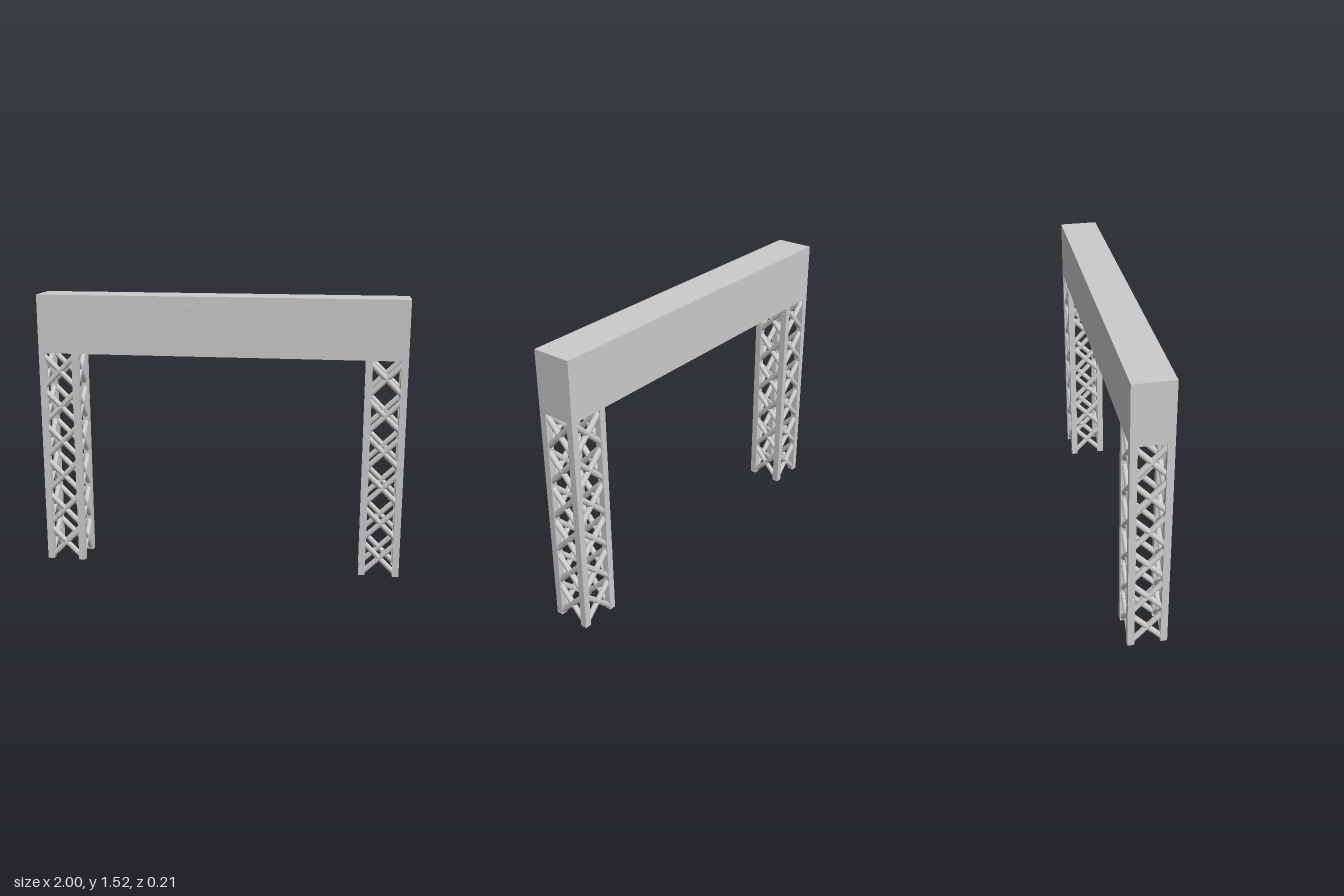
import * as THREE from 'three';

const HALF_X = 1, DEPTH = 0.208, LEG_TOP = 1.2, TOP = 1.52;
const LEG_W = 0.22, POST = 0.036, BAYS = 6, BRACE_R = 0.015;

const material = new THREE.MeshStandardMaterial({ color: 0xcccccc });

function box(name, w, h, d, x, y, z) {
  const mesh = new THREE.Mesh(new THREE.BoxGeometry(w, h, d), material);
  mesh.name = name;
  mesh.position.set(x, y, z);
  return mesh;
}

// Round bar between two points
function brace(a, b) {
  const dir = b.clone().sub(a);
  const mesh = new THREE.Mesh(new THREE.CylinderGeometry(BRACE_R, BRACE_R, dir.length(), 12), material);
  mesh.name = 'crossBrace';
  mesh.position.copy(a).add(b).multiplyScalar(0.5);
  mesh.quaternion.setFromUnitVectors(new THREE.Vector3(0, 1, 0), dir.normalize());
  return mesh;
}

// Square lattice tower: four posts, crossed bars in each bay of each side
function trussLeg(name) {
  const leg = new THREE.Group();
  leg.name = name;
  const px = (LEG_W - POST) / 2, pz = (DEPTH - POST) / 2;
  const corners = [[-px, -pz], [px, -pz], [px, pz], [-px, pz]];
  const bay = LEG_TOP / BAYS, inset = 0.01;

  corners.forEach(([x, z], i) => {
    leg.add(box('cornerPost', POST, LEG_TOP, POST, x, LEG_TOP / 2, z));
    const [nx, nz] = corners[(i + 1) % 4];
    for (let k = 0; k < BAYS; k++) {
      const low = k * bay + inset, high = (k + 1) * bay - inset;
      leg.add(
        brace(new THREE.Vector3(x, low, z), new THREE.Vector3(nx, high, nz)),
        brace(new THREE.Vector3(x, high, z), new THREE.Vector3(nx, low, nz)),
      );
    }
  });
  return leg;
}

export function createModel() {
  const gantry = new THREE.Group();
  gantry.name = 'gantry';

  // Legs at both ends
  for (const side of [-1, 1]) {
    const leg = trussLeg(side > 0 ? 'leftLeg' : 'rightLeg');
    leg.position.x = side * (HALF_X - LEG_W / 2);
    gantry.add(leg);
  }

  // Box beam with a thin sign panel on its front
  const h = TOP - LEG_TOP, y = (TOP + LEG_TOP) / 2;
  gantry.add(box('beam', 2 * HALF_X, h, DEPTH, 0, y, 0));
  gantry.add(box('signPanel', 2 * HALF_X - 0.08, h - 0.08, 0.004, 0, y, DEPTH / 2));
  return gantry;
}
